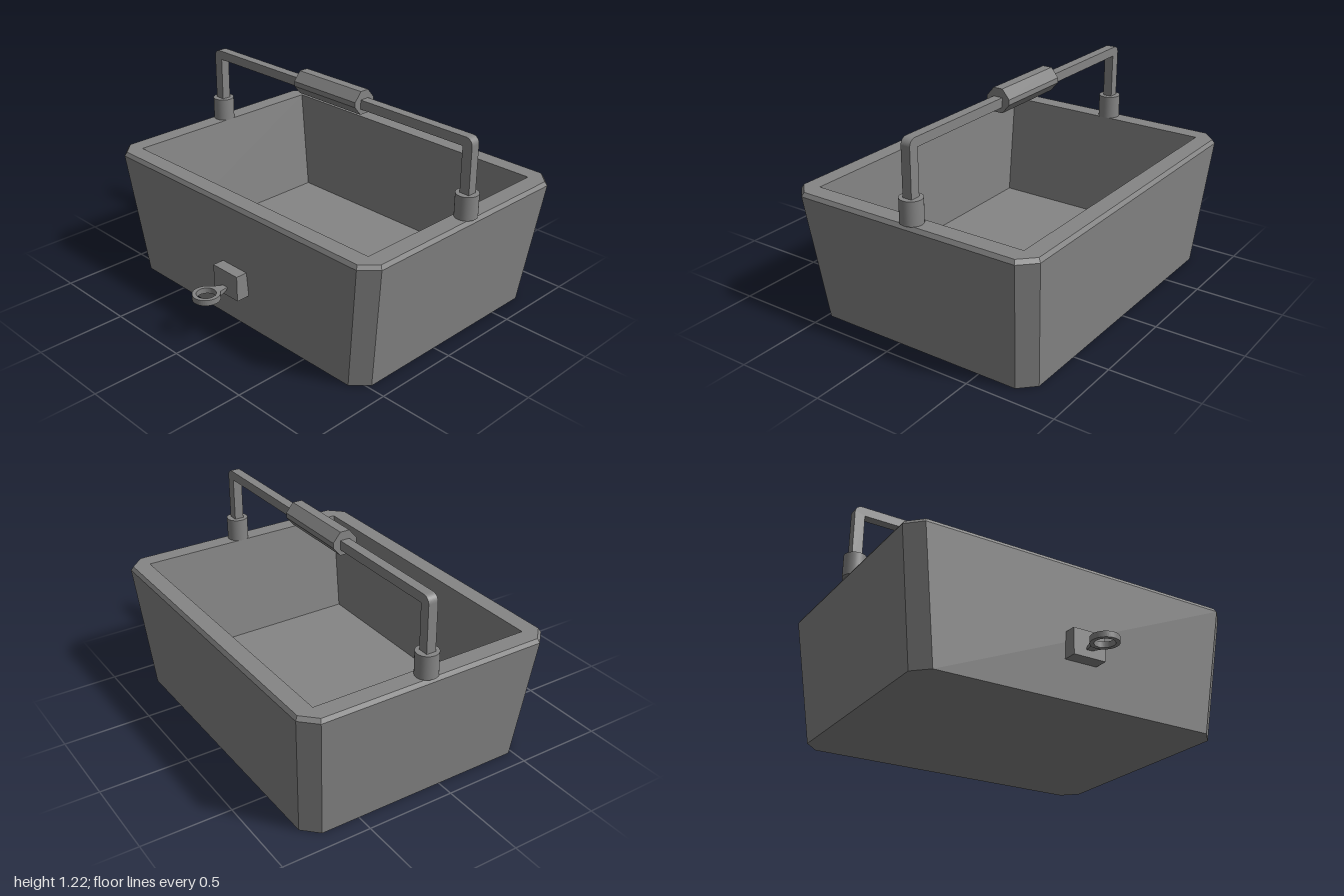
import * as THREE from 'three';

const smooth = new THREE.MeshStandardMaterial({ color: 0x858585 });
const flat = new THREE.MeshStandardMaterial({ color: 0x858585, flatShading: true });

function add(parent, name, geometry, material, x = 0, y = 0, z = 0) {
  const mesh = new THREE.Mesh(geometry, material);
  mesh.name = name;
  mesh.position.set(x, y, z);
  parent.add(mesh);
  return mesh;
}

// Rectangle with cut corners at height y
function loop(y, hx, hz, c) {
  return [
    [hx, y, -hz + c], [hx, y, hz - c], [hx - c, y, hz], [-hx + c, y, hz],
    [-hx, y, hz - c], [-hx, y, -hz + c], [-hx + c, y, -hz], [hx - c, y, -hz],
  ];
}

// Skin through successive loops, closed by a cap at each end
function skin(loops) {
  const p = [];
  const n = loops[0].length;
  for (let k = 0; k < loops.length - 1; k++) {
    const lo = loops[k], hi = loops[k + 1];
    for (let i = 0; i < n; i++) {
      const j = (i + 1) % n;
      p.push(...lo[i], ...hi[i], ...lo[j], ...lo[j], ...hi[i], ...hi[j]);
    }
  }
  const first = loops[0], last = loops[loops.length - 1];
  for (let i = 1; i < n - 1; i++) {
    p.push(...first[0], ...first[i], ...first[i + 1]);
    p.push(...last[0], ...last[i + 1], ...last[i]);
  }
  const g = new THREE.BufferGeometry();
  g.setAttribute('position', new THREE.Float32BufferAttribute(p, 3));
  g.computeVertexNormals();
  return g;
}

export function createModel() {
  const model = new THREE.Group();
  model.name = 'basket';

  // Tub: flared outside, bevelled rim, then down to the inner floor
  add(model, 'tub', skin([
    loop(0, 0.68, 0.9, 0.083),
    loop(0.718, 0.737, 0.995, 0.083),
    loop(0.74, 0.724, 0.982, 0.078),
    loop(0.74, 0.63, 0.885, 0),
    loop(0.132, 0.63, 0.827, 0),
  ]), flat, 0.12);

  // Handle: sockets, square-section bar and octagonal grip
  const handle = new THREE.Group();
  handle.name = 'handle';
  handle.position.x = 0.145;
  model.add(handle);

  for (const s of [1, -1]) {
    add(handle, 'handleSocket', new THREE.CylinderGeometry(0.061, 0.061, 0.13, 32), smooth, 0, 0.805, s * 0.94);
  }

  const out = 0.97, inn = 0.912, top = 1.172, r = 0.04;
  const bar = new THREE.Shape();
  bar.moveTo(-out, 0.8);
  bar.lineTo(-inn, 0.8);
  bar.lineTo(-inn, 1.12);
  bar.lineTo(inn, 1.12);
  bar.lineTo(inn, 0.8);
  bar.lineTo(out, 0.8);
  bar.lineTo(out, top - r);
  bar.absarc(out - r, top - r, r, 0, Math.PI / 2, false);
  bar.lineTo(-out + r, top);
  bar.absarc(-out + r, top - r, r, Math.PI / 2, Math.PI, false);
  bar.closePath();
  const barGeo = new THREE.ExtrudeGeometry(bar, { depth: 0.054, bevelEnabled: false, curveSegments: 6 });
  barGeo.translate(0, 0, -0.027).rotateY(Math.PI / 2);
  add(handle, 'handleBar', barGeo, smooth);

  // Grip section: wide octagon with short upright sides
  const section = [
    [0.07, -0.014], [0.07, 0.014], [0.027, 0.065], [-0.027, 0.065],
    [-0.07, 0.014], [-0.07, -0.014], [-0.027, -0.065], [0.027, -0.065],
  ].map(([x, y]) => new THREE.Vector2(x, y));
  const grip = new THREE.ExtrudeGeometry(new THREE.Shape(section), { depth: 0.464, bevelEnabled: false });
  grip.translate(0, 0, -0.234);
  add(handle, 'handleGrip', grip, flat, 0, 1.154, 0);

  // Side fitting: mounting block, tapered neck and flat ring
  const fitting = new THREE.Group();
  fitting.name = 'sideFitting';
  model.add(fitting);
  add(fitting, 'mountingBlock', new THREE.BoxGeometry(0.09, 0.145, 0.19), flat, -0.61, 0.283, 0);

  const neck = new THREE.BoxGeometry(0.07, 0.032, 0.076);
  const pos = neck.attributes.position;
  for (let i = 0; i < pos.count; i++) {
    // Narrow the end next to the block
    if (pos.getX(i) > 0) pos.setXYZ(i, pos.getX(i), pos.getY(i) * 0.35, pos.getZ(i) * 0.42);
  }
  add(fitting, 'ringNeck', neck, flat, -0.688, 0.256, -0.003);

  const ring = new THREE.Shape().absarc(0, 0, 0.075, 0, Math.PI * 2, false);
  ring.holes.push(new THREE.Path().absarc(0, 0, 0.053, 0, Math.PI * 2, true));
  const ringGeo = new THREE.ExtrudeGeometry(ring, { depth: 0.032, bevelEnabled: false, curveSegments: 24 });
  ringGeo.translate(0, 0, -0.016).rotateX(Math.PI / 2);
  add(fitting, 'ring', ringGeo, smooth, -0.783, 0.256, -0.003);

  return model;
}
